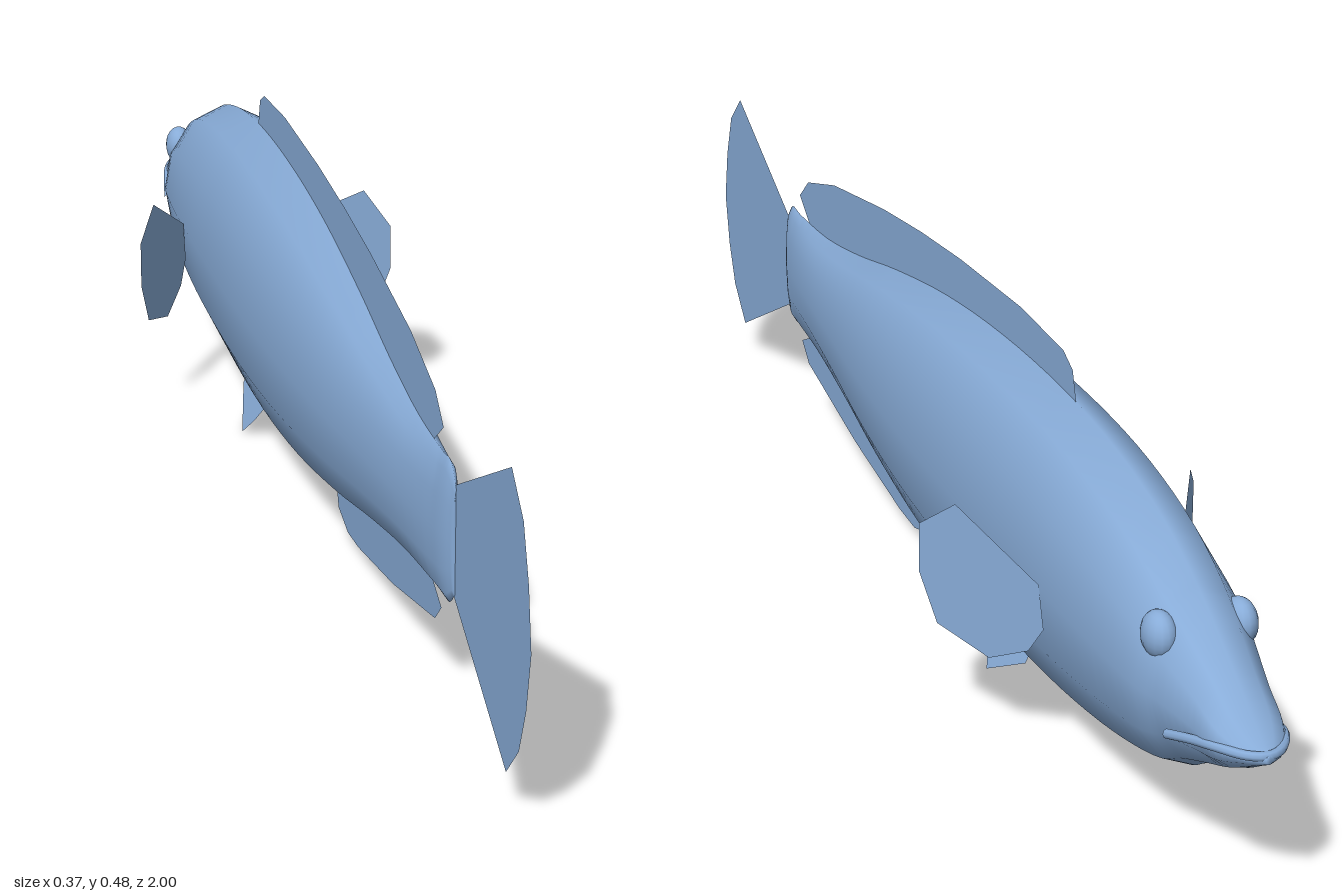
import * as THREE from 'three';

const skin = new THREE.MeshStandardMaterial({ color: 0x88acd8 });
skin.name = 'blue skin';
const finSkin = new THREE.MeshStandardMaterial({ color: 0x88acd8, side: THREE.DoubleSide });
finSkin.name = 'blue fin';

// Body sections from snout to tail: z, top, bottom, half width
const SECTIONS = [
  [-1.0, 0.208, 0.198, 0.004], [-0.985, 0.215, 0.19, 0.024], [-0.95, 0.237, 0.17, 0.045],
  [-0.9, 0.27, 0.148, 0.053], [-0.84, 0.307, 0.122, 0.066], [-0.8, 0.33, 0.1, 0.075],
  [-0.7, 0.373, 0.074, 0.085], [-0.56, 0.405, 0.054, 0.091], [-0.4, 0.42, 0.044, 0.092],
  [-0.2, 0.42, 0.045, 0.09], [0, 0.405, 0.059, 0.081], [0.2, 0.375, 0.088, 0.065],
  [0.36, 0.344, 0.118, 0.047], [0.5, 0.325, 0.139, 0.032], [0.62, 0.323, 0.145, 0.018],
  [0.655, 0.325, 0.146, 0.012], [0.68, 0.3, 0.165, 0.003],
];

function bodyGeometry(sides = 12, rings = 64) {
  const outline = new THREE.CatmullRomCurve3(SECTIONS.map(([z, top, bottom]) => new THREE.Vector3(top, bottom, z)));
  const widths = new THREE.CatmullRomCurve3(SECTIONS.map(([z, , , w]) => new THREE.Vector3(w, 0, z)));
  const pos = [], index = [];
  for (let i = 0; i <= rings; i++) {
    const o = outline.getPoint(i / rings), w = widths.getPoint(i / rings).x;
    for (let j = 0; j < sides; j++) {
      const a = (j / sides) * Math.PI * 2;
      pos.push(w * Math.sin(a), (o.x + o.y) / 2 + ((o.x - o.y) / 2) * Math.cos(a), o.z);
      if (i === rings) continue;
      const k = (j + 1) % sides, p = i * sides, q = p + sides;
      index.push(p + j, q + j, p + k, q + j, q + k, p + k);
    }
  }
  // Close both ends
  for (let j = 1; j < sides - 1; j++) {
    const e = rings * sides;
    index.push(0, j, j + 1, e, e + j + 1, e + j);
  }
  const g = new THREE.BufferGeometry();
  g.setAttribute('position', new THREE.Float32BufferAttribute(pos, 3));
  g.setIndex(index);
  g.computeVertexNormals();
  return g;
}

// Flat fin outlined in (z, y), placed sideways by a rule for x
function fin(name, outline, xAt = () => 0) {
  const g = new THREE.ShapeGeometry(new THREE.Shape(outline.map(([z, y]) => new THREE.Vector2(z, y))));
  const p = g.attributes.position;
  for (let i = 0; i < p.count; i++) {
    const z = p.getX(i), y = p.getY(i);
    p.setXYZ(i, xAt(z, y), y, z);
  }
  g.computeVertexNormals();
  const mesh = new THREE.Mesh(g, finSkin);
  mesh.name = name;
  return mesh;
}

export function createModel() {
  const fish = new THREE.Group();
  fish.name = 'fish';

  const body = new THREE.Mesh(bodyGeometry(), skin);
  body.name = 'body';
  fish.add(body);

  // Fins on the centre line
  fish.add(fin('tailFin', [
    [0.65, 0.295], [0.67, 0.3], [0.91, 0.418], [0.96, 0.375], [0.985, 0.31], [1, 0.235],
    [0.985, 0.16], [0.96, 0.1], [0.91, 0.05], [0.67, 0.165], [0.65, 0.17],
  ]));
  fish.add(fin('dorsalFin', [
    [0.56, 0.31], [0.62, 0.353], [0.58, 0.385], [0.46, 0.417], [0.25, 0.447], [0.1, 0.462], [-0.05, 0.472],
    [-0.26, 0.478], [-0.4, 0.47], [-0.43, 0.455], [-0.445, 0.41], [-0.2, 0.4], [0, 0.39], [0.3, 0.34],
  ]));
  fish.add(fin('analFin', [
    [0.56, 0.15], [0.62, 0.123], [0.59, 0.096], [0.38, 0.05], [0.19, 0.02], [0.13, 0.016],
    [0.075, 0.03], [0.055, 0.08], [0.3, 0.13],
  ]));

  // Paired fins and eyes
  for (const s of [-1, 1]) {
    const side = s > 0 ? 'left' : 'right';
    fish.add(fin(side + 'PectoralFin', [
      [-0.44, 0.306], [-0.553, 0.237], [-0.56, 0.18], [-0.54, 0.145], [-0.487, 0.117],
      [-0.415, 0.139], [-0.39, 0.2], [-0.39, 0.265],
    ], (z) => s * (0.088 + (z + 0.56) * 0.565)));
    fish.add(fin(side + 'PelvicFin', [
      [-0.24, 0.065], [-0.265, 0.03], [-0.295, 0.002], [-0.38, 0.045], [-0.38, 0.065],
    ], (z, y) => s * (0.058 - y * 0.45)));

    const eye = new THREE.Mesh(new THREE.SphereGeometry(0.029, 16, 12), skin);
    eye.name = side + 'Eye';
    eye.scale.x = 0.7;
    eye.position.set(s * 0.05, 0.28, -0.81);
    fish.add(eye);
  }

  // Lip ridge around the snout
  const half = [[0.06, 0.18, -0.86], [0.051, 0.195, -0.91], [0.042, 0.204, -0.95], [0.02, 0.206, -0.985]];
  const path = [
    ...half.map(([x, y, z]) => new THREE.Vector3(-x, y, z)),
    new THREE.Vector3(0, 0.206, -0.994),
    ...half.toReversed().map(([x, y, z]) => new THREE.Vector3(x, y, z)),
  ];
  const lip = new THREE.Mesh(new THREE.TubeGeometry(new THREE.CatmullRomCurve3(path), 40, 0.006, 8), skin);
  lip.name = 'lip';
  fish.add(lip);

  return fish;
}
